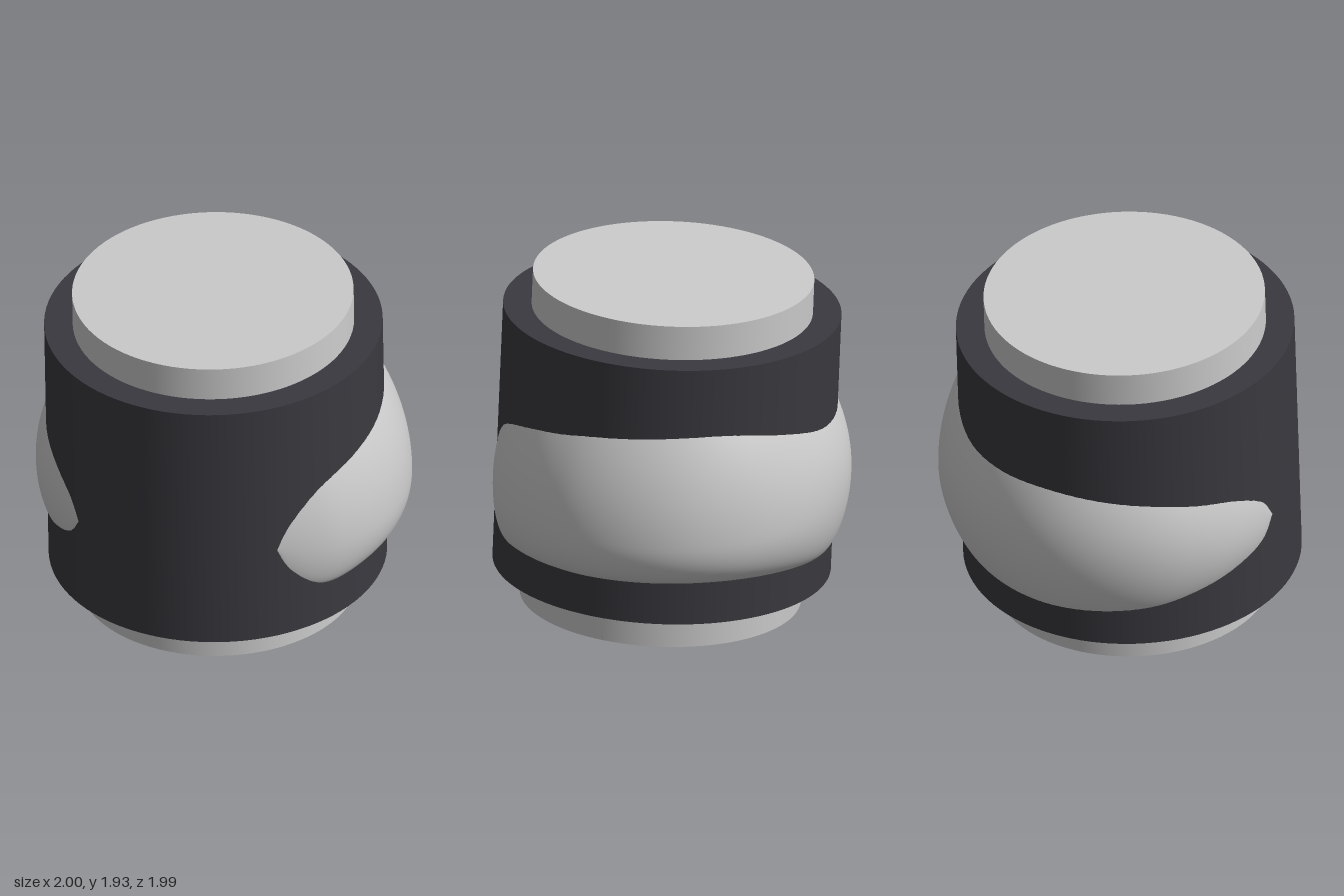
import * as THREE from 'three';

const TILT_X = 0.037, TILT_Z = 0.012; // lean of the body axis per unit of height
const CENTRE = new THREE.Vector3(0.0025, 0.9725, 0.065);
const grey = () => new THREE.MeshStandardMaterial({ color: 0xcccccc });
const dark = () => new THREE.MeshStandardMaterial({ color: 0x3a393f });

function cylinder(name, radius, height, material) {
  const mesh = new THREE.Mesh(new THREE.CylinderGeometry(radius, radius, height, 96), material);
  mesh.name = name;
  return mesh;
}

// Swelling that wraps around the back and sides. Each station:
// angle from the back (towards +x), upper edge, lower edge, peak radius, peak height, underside roundness
function bulgeGeometry() {
  const stations = [
    [-172.5, 0.80, 0.76, 0.920, 0.78, 0.9],
    [-167, 0.93, 0.65, 0.932, 0.78, 0.9],
    [-154, 1.03, 0.57, 0.955, 0.78, 0.9],
    [-139, 1.08, 0.50, 0.975, 0.78, 0.9],
    [-120, 1.13, 0.43, 0.995, 0.78, 0.9],
    [-90, 1.17, 0.385, 1.010, 0.77, 0.9],
    [-65, 1.16, 0.385, 1.010, 0.76, 0.8],
    [-45, 1.17, 0.40, 1.015, 0.75, 0.7],
    [-20, 1.26, 0.44, 1.045, 0.73, 0.6],
    [0, 1.32, 0.465, 1.066, 0.72, 0.5],
    [20, 1.325, 0.475, 1.075, 0.72, 0.5],
    [46, 1.30, 0.48, 1.06, 0.73, 0.5],
    [60, 1.27, 0.485, 1.04, 0.74, 0.5],
    [75, 1.235, 0.485, 1.015, 0.75, 0.6],
    [90, 1.18, 0.49, 0.985, 0.77, 0.7],
    [99, 1.11, 0.54, 0.958, 0.79, 0.8],
    [108, 0.97, 0.67, 0.931, 0.81, 0.9],
    [112, 0.84, 0.80, 0.920, 0.82, 0.9],
  ];
  const spline = (pick) => new THREE.CatmullRomCurve3(
    stations.map((s) => new THREE.Vector3(s[pick], s[pick + 1], s[pick + 2])), false, 'catmullrom', 0.5);
  const edges = spline(0), peaks = spline(3);
  const across = 170, down = 40, base = 0.915;
  const positions = [], indices = [];
  for (let i = 0; i <= across; i++) {
    const e = edges.getPoint(i / across), p = peaks.getPoint(i / across);
    const angle = THREE.MathUtils.degToRad(e.x);
    for (let j = 0; j <= down; j++) {
      const t = (1 - Math.cos(Math.PI * j / down)) / 2;
      const y = THREE.MathUtils.lerp(e.y, e.z, t);
      const d = y > p.y ? (y - p.y) / (e.y - p.y) : (p.y - y) / (p.y - e.z);
      const swell = Math.pow(Math.max(0, 1 - d * d), y > p.y ? 1 : p.y === 0 ? 1 : rounding(p));
      const r = base + (p.x - base) * swell;
      positions.push(
        CENTRE.x - TILT_X * (y - CENTRE.y) + r * Math.sin(angle),
        y,
        CENTRE.z - TILT_Z * (y - CENTRE.y) - r * Math.cos(angle));
      if (i < across && j < down) {
        const a = i * (down + 1) + j, b = a + down + 1;
        indices.push(a, b, a + 1, b, b + 1, a + 1);
      }
    }
  }
  const geometry = new THREE.BufferGeometry();
  geometry.setAttribute('position', new THREE.Float32BufferAttribute(positions, 3));
  geometry.setIndex(indices);
  geometry.computeVertexNormals();
  return geometry;
}

const rounding = (peak) => THREE.MathUtils.clamp(peak.z, 0.5, 1);

export function createModel() {
  const model = new THREE.Group();
  model.name = 'bulgingSleeve';

  // Leaning sleeve with the core showing at both ends
  const body = new THREE.Group();
  body.name = 'body';
  body.position.copy(CENTRE);
  body.rotation.set(-TILT_Z, 0, TILT_X);
  body.add(cylinder('core', 0.765, 1.876, grey()));
  body.add(cylinder('sleeve', 0.92, 1.487, dark()));
  model.add(body);

  // Smooth swelling breaking through the sleeve
  const bulge = new THREE.Mesh(bulgeGeometry(), grey());
  bulge.material.side = THREE.DoubleSide;
  bulge.name = 'bulge';
  model.add(bulge);
  return model;
}
